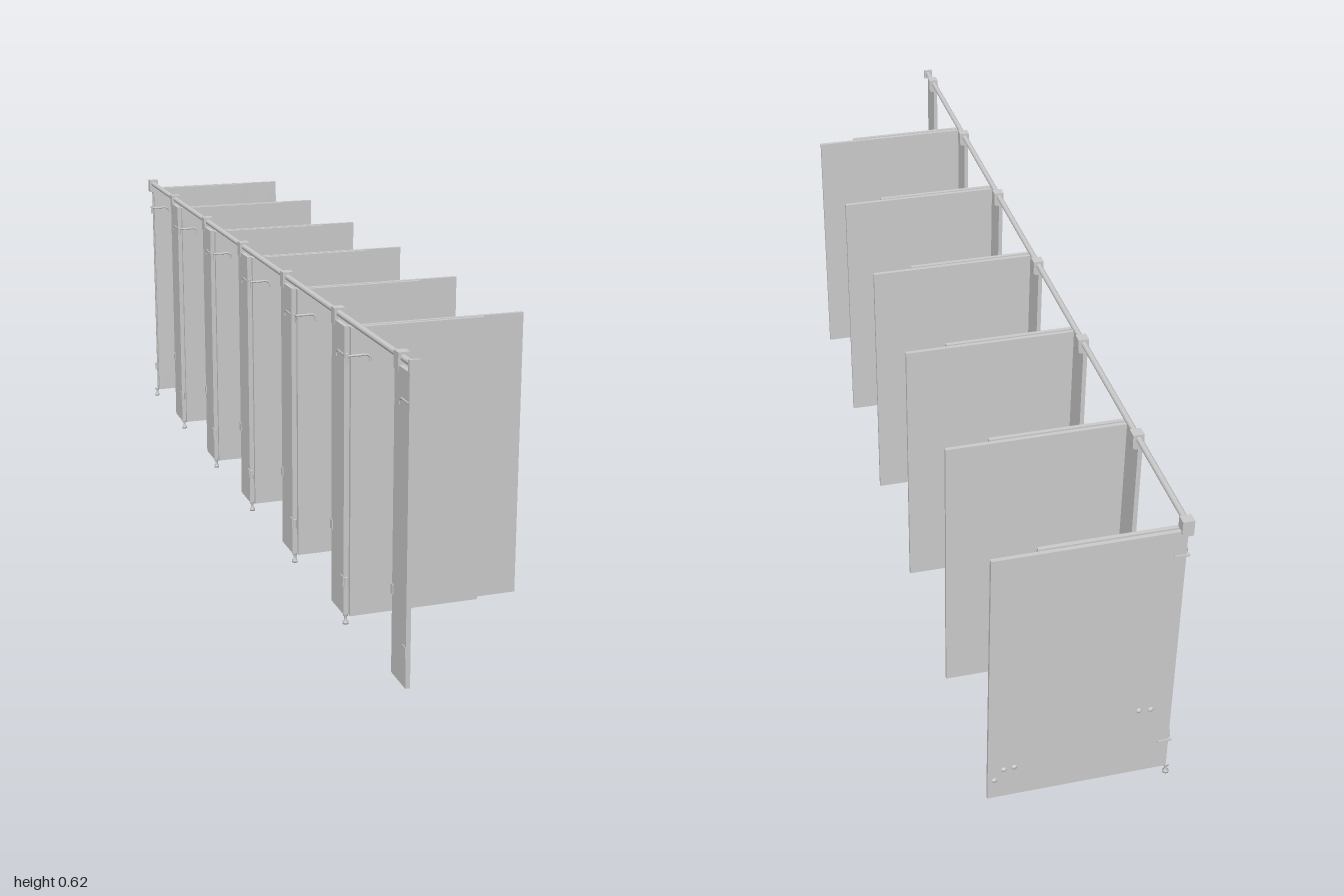
import * as THREE from 'three';

export function createModel() {
  const group = new THREE.Group();
  group.name = 'cubicleRow';
  const mat = new THREE.MeshStandardMaterial({ color: 0xcccccc });

  const add = (name, geo, x = 0, y = 0, z = 0) => {
    const m = new THREE.Mesh(geo, mat);
    m.name = name;
    m.position.set(x, y, z);
    group.add(m);
    return m;
  };
  // Box given by its lower and upper limits
  const slab = (name, x0, x1, y0, y1, z0, z1) =>
    add(name, new THREE.BoxGeometry(x1 - x0, y1 - y0, z1 - z0),
      (x0 + x1) / 2, (y0 + y1) / 2, (z0 + z1) / 2);

  const LOW = 0.021, HIGH = 0.595, T = 0.008;
  const FRONT = -0.18, RAIL_X = -0.171;

  // Rail clamp: block with a rounded lower corner
  const cs = new THREE.Shape();
  cs.moveTo(-0.181, 0.617);
  cs.lineTo(-0.181, 0.585);
  cs.lineTo(-0.167, 0.585);
  cs.quadraticCurveTo(-0.159, 0.585, -0.159, 0.593);
  cs.lineTo(-0.159, 0.617);
  const clamp = (z, depth) => add('railClamp',
    new THREE.ExtrudeGeometry(cs, { depth, bevelEnabled: false, curveSegments: 6 }), 0, 0, z);

  // Adjustable foot, turned profile
  const footGeo = new THREE.LatheGeometry([
    [0, 0], [0.006, 0], [0.006, 0.004], [0.003, 0.007], [0.003, 0.016], [0.005, 0.017], [0.005, 0.022],
  ].map(p => new THREE.Vector2(...p)), 16);

  // Hinge leaf: slim strap with a hooked end, running along +x
  const strapGeo = new THREE.TubeGeometry(new THREE.CatmullRomCurve3([
    [0, 0, 0], [0.02, 0, 0], [0.036, 0, 0], [0.042, -0.004, 0], [0.043, -0.013, 0],
  ].map(p => new THREE.Vector3(...p))), 20, 0.0022, 8);
  const knuckleGeo = new THREE.CylinderGeometry(0.003, 0.003, 0.02, 12);

  // Partition, open door, hinges and foot of one bay
  const bay = (z, last) => {
    slab(last ? 'endPanel' : 'partition', RAIL_X - 0.001, 0.181, LOW, HIGH, z - T / 2, z + T / 2);
    const doorZ = z + 0.012;
    slab('door', -0.171, 0.095, LOW, HIGH, doorZ - T / 2, doorZ + T / 2);
    add('foot', footGeo, -0.174, 0, z);
    add('doorHingeLeaf', strapGeo, -0.176, 0.541, doorZ + 0.004);
    for (const y of [0.535, 0.09]) add('hingeKnuckle', knuckleGeo, -0.177, y, doorZ - 0.001);
  };

  // Narrow front post with clamp, fixed hinge leaf and latch keep
  const post = (z0, z1) => {
    slab('frontPost', FRONT, -0.171, LOW, HIGH, z0, z1);
    clamp(z0 - 0.003, 0.022);
    add('postHingeLeaf', strapGeo, -0.1795, 0.541, z1 - 0.002).rotation.y = Math.PI / 2;
    slab('latchKeep', -0.182, -0.17, 0.173, 0.192, z0 - 0.003, z0 + 0.008);
    slab('lowerHingePlate', -0.1815, -0.178, 0.08, 0.1, z1 - 0.016, z1);
  };

  for (const z of [0.661, 0.329, -0.002, -0.327, -0.665]) {
    bay(z, false);
    post(z - 0.069, z + T / 2);
  }
  post(0.929, 1);

  // End panel closing the row
  const endZ = -0.993;
  bay(endZ, true);
  clamp(-1, 0.02);
  for (const y of [0.541, 0.09])
    slab('endHingePlate', -0.178, -0.15, y - 0.002, y + 0.002, -0.9995, endZ);

  // Rounded fixing studs through the end panel
  const studGeo = new THREE.SphereGeometry(0.007, 16, 12);
  for (const [x, y] of [[0.13, 0.092], [0.15, 0.09], [0.168, 0.066], [-0.108, 0.18], [-0.131, 0.178]])
    add('stud', studGeo, x, y, endZ);

  // Head rail along the front, with its wall flange
  add('headRail', new THREE.CylinderGeometry(0.006, 0.006, 1.996, 20), RAIL_X, 0.607, 0)
    .rotation.x = Math.PI / 2;
  slab('railFlange', -0.181, -0.161, 0.595, 0.617, 0.994, 1);

  return group;
}
